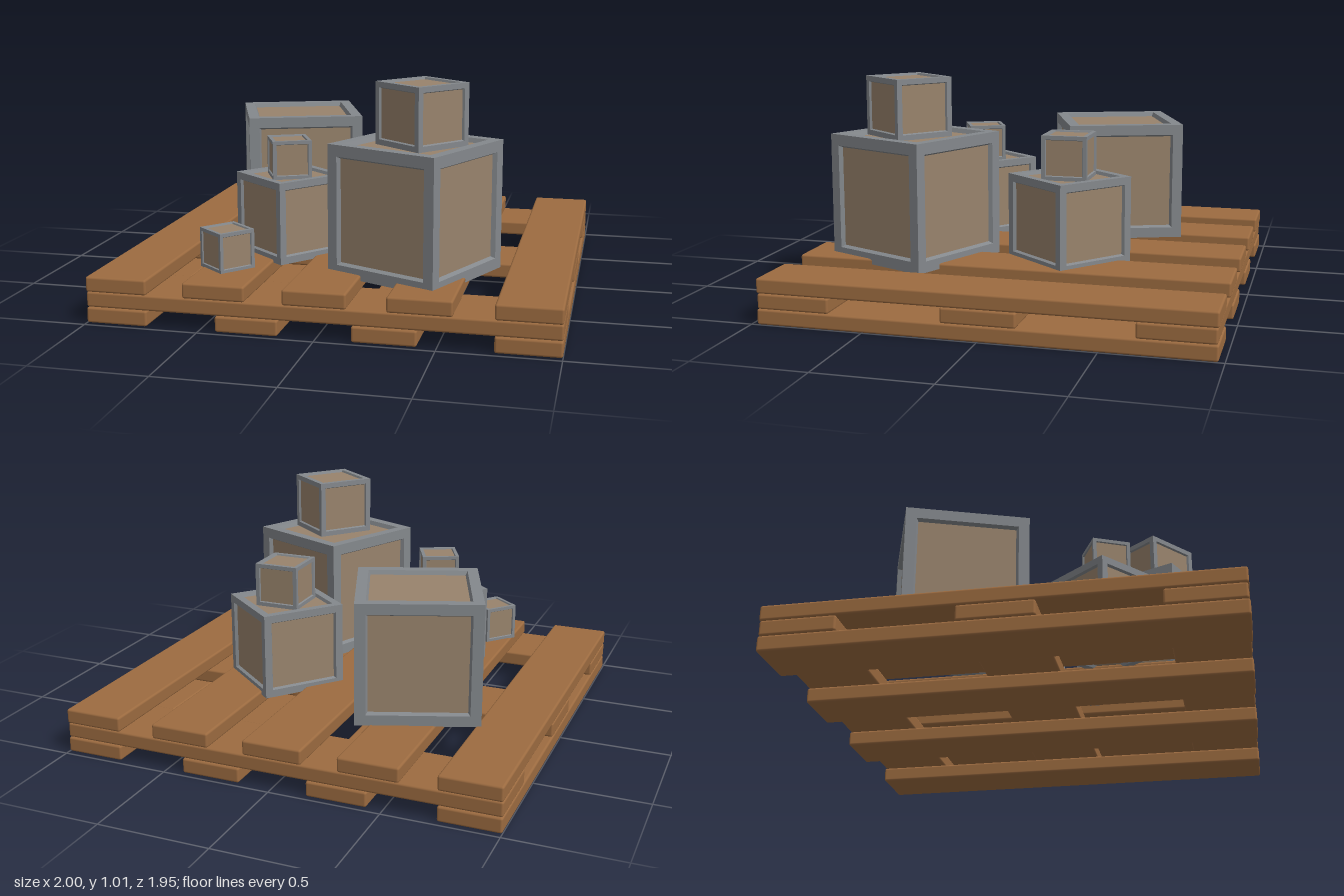
import * as THREE from 'three';
import { RoundedBoxGeometry } from 'three/addons/geometries/RoundedBoxGeometry.js';

const wood = new THREE.MeshStandardMaterial({ name: 'palletWood', color: 0x9c6b40 });
const frameGrey = new THREE.MeshStandardMaterial({ name: 'frameGrey', color: 0x84888c });
const panelTan = new THREE.MeshStandardMaterial({ name: 'panelTan', color: 0x98836c });

// Unit cube whose six faces have a raised frame, a sloped lip and a sunken panel
function crateGeometries() {
  const frame = [], panel = [];
  const turns = [0, 1, 2, 3].map(i => new THREE.Matrix4().makeRotationY(i * Math.PI / 2));
  turns.push(new THREE.Matrix4().makeRotationX(Math.PI / 2), new THREE.Matrix4().makeRotationX(-Math.PI / 2));
  const square = (half, z) => [[-1, -1], [1, -1], [1, 1], [-1, 1]]
    .map(([x, y]) => new THREE.Vector3(x * half, y * half, z));
  const rings = [square(0.5, 0.5), square(0.412, 0.5), square(0.396, 0.465)];
  for (const turn of turns) {
    const quad = (out, a, b, c, d) => {
      for (const v of [a, b, c, a, c, d]) out.push(...v.clone().applyMatrix4(turn).toArray());
    };
    for (let r = 0; r < 2; r++) {
      for (let i = 0; i < 4; i++) {
        const j = (i + 1) % 4;
        quad(frame, rings[r][i], rings[r][j], rings[r + 1][j], rings[r + 1][i]);
      }
    }
    quad(panel, ...rings[2]);
  }
  return [frame, panel].map(points => {
    const g = new THREE.BufferGeometry();
    g.setAttribute('position', new THREE.Float32BufferAttribute(points, 3));
    g.computeVertexNormals();
    return g;
  });
}

export function createModel() {
  const model = new THREE.Group();
  model.name = 'palletWithCrates';

  // Pallet: three crossing layers of softened boards
  const pallet = new THREE.Group();
  pallet.name = 'pallet';
  model.add(pallet);
  const board = (name, w, h, d, x, y, z) => {
    const mesh = new THREE.Mesh(new RoundedBoxGeometry(w, h, d, 2, 0.01), wood);
    mesh.name = name;
    mesh.position.set(x, y, z);
    pallet.add(mesh);
  };
  for (const x of [-0.865, -0.435, -0.005, 0.43, 0.865]) board('topBoard', 0.27, 0.067, 1.95, x, 0.169, 0);
  for (const z of [-0.81, -0.003, 0.81]) board('crossBoard', 2, 0.067, 0.322, 0, 0.102, z);
  for (const x of [-0.865, -0.295, 0.285, 0.865]) board('bottomBoard', 0.27, 0.068, 1.95, x, 0.034, 0);

  // Crates: name, x, z, width, bottom, top, turn
  const [frameGeo, panelGeo] = crateGeometries();
  const crates = [
    ['backLargeCrate', -0.405, -0.3, 0.545, 0.2, 0.75, 0.356],
    ['frontLargeCrate', 0.327, 0.497, 0.54, 0.178, 0.75, -0.42],
    ['backMediumCrate', 0.28, -0.215, 0.393, 0.185, 0.577, -0.695],
    ['frontMediumCrate', -0.28, 0.34, 0.35, 0.19, 0.556, -0.69],
    ['looseSmallCrate', -0.464, 0.693, 0.17, 0.2, 0.375, -0.7],
    ['backStackedCrate', 0.28, -0.213, 0.206, 0.565, 0.765, 0],
    ['frontStackedCrate', -0.28, 0.35, 0.175, 0.545, 0.718, 0.44],
    ['topCrate', 0.354, 0.516, 0.28, 0.74, 1.01, -0.68],
  ];
  for (const [name, x, z, width, bottom, top, turn] of crates) {
    const crate = new THREE.Group();
    crate.name = name;
    const frame = new THREE.Mesh(frameGeo, frameGrey);
    frame.name = 'frame';
    const panels = new THREE.Mesh(panelGeo, panelTan);
    panels.name = 'panels';
    crate.add(frame, panels);
    crate.position.set(x, (bottom + top) / 2, z);
    crate.scale.set(width, top - bottom, width);
    crate.rotation.y = turn;
    model.add(crate);
  }
  return model;
}
